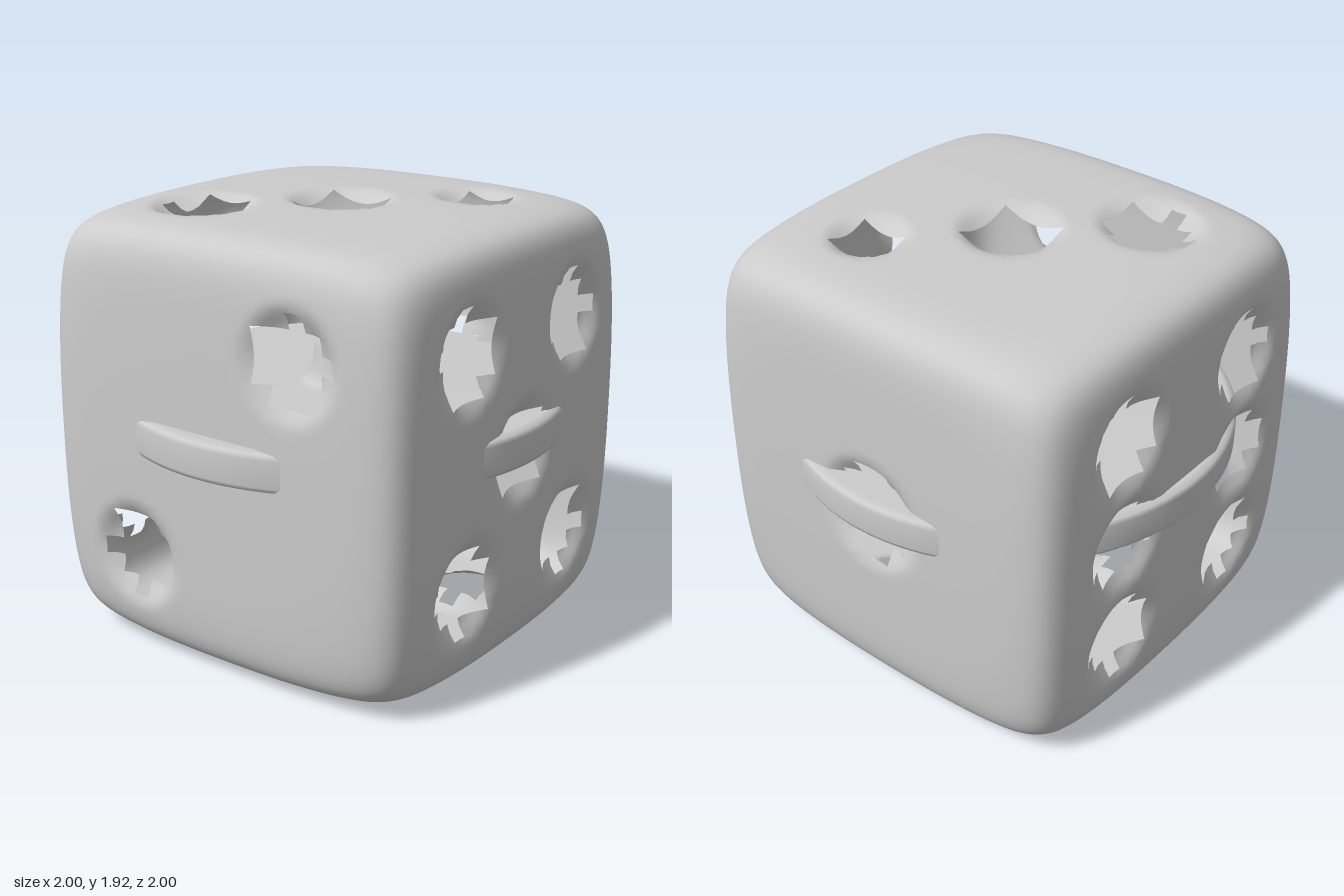
import * as THREE from 'three';
import { mergeVertices } from 'three/addons/utils/BufferGeometryUtils.js';

const HALF = [0.925, 0.96, 0.95]; // half sizes of the body
const CELLS = 12; // hole cells per half face
const SEGS = CELLS * 4;
const P = 0.45, Q = 0.53;

// Each face: axis, side, the two other axes, and its pips as [u, v, open radius]
const both = (list, r) => list.map(([u, v]) => [u, v, r]);
const corners = (u, v) => [[-u, -v], [-u, v], [u, -v], [u, v]];
const FACES = [
  { axis: 2, side: 1, u: 0, v: 1, pips: [...both(corners(P, Q), 0.186), [0, 0, 0.18]] },
  { axis: 2, side: -1, u: 0, v: 1, pips: both([...corners(P, Q), [-P, 0], [P, 0]], 0.186) },
  { axis: 0, side: 1, u: 2, v: 1, pips: [[0, 0, 0.215]] },
  { axis: 0, side: -1, u: 2, v: 1, pips: both([[P, Q], [-P, -Q]], 0.186) },
  { axis: 1, side: 1, u: 0, v: 2, pips: [[-P, -P, 0.186], [0, 0, 0.18], [P, P, 0.13]] },
  { axis: 1, side: -1, u: 0, v: 2, pips: both(corners(P, P), 0.17) },
];

const faceOf = (p) => FACES.filter((f) => p[f.axis] * f.side > 0.9999);

// Hollow rounded cube with dented pips that break open in square cells
function bodyGeometry() {
  let geo = new THREE.BoxGeometry(2, 2, 2, SEGS, SEGS, SEGS);
  geo.deleteAttribute('uv');
  geo.deleteAttribute('normal');
  geo.clearGroups();
  geo = mergeVertices(geo, 1e-4);
  const pos = geo.attributes.position;
  const point = (i) => [pos.getX(i), pos.getY(i), pos.getZ(i)];

  // Drop the cells that lie inside a pip
  const snap = (t) => (Math.floor(t * CELLS) + 0.5) / CELLS;
  const src = geo.index.array;
  const kept = [];
  for (let i = 0; i < src.length; i += 6) {
    const c = [0, 0, 0];
    for (let k = 0; k < 6; k++) point(src[i + k]).forEach((t, a) => { c[a] += t / 6; });
    const f = faceOf(c)[0];
    const open = f.pips.some(([u, v, r]) => Math.hypot(snap(c[f.u]) - u, snap(c[f.v]) - v) < r);
    if (!open) for (let k = 0; k < 6; k++) kept.push(src[i + k]);
  }
  geo.setIndex(kept);

  // Round the edges, cut back the corners, bulge the faces and press in the pips
  const n = 12;
  for (let i = 0; i < pos.count; i++) {
    const p = point(i);
    const norm = p.reduce((s, t) => s + Math.abs(t) ** n, 0) ** (1 / n);
    const q = p.map((t) => t / norm);
    const r2 = q.reduce((s, t) => s + t * t, 0);
    const corner = Math.abs(q[0] * q[1] * q[2]) ** 3;
    const out = q.map((t) => t * (1 - 0.016 * (r2 - 1) - 0.06 * corner));
    for (const f of faceOf(p)) {
      let dent = 0;
      for (const [u, v, r] of f.pips) {
        const d = Math.hypot(p[f.u] - u, p[f.v] - v);
        dent = Math.max(dent, 0.06 * (1 - THREE.MathUtils.smoothstep(d, r - 0.04, r + 0.08)));
      }
      out[f.axis] -= f.side * dent;
    }
    pos.setXYZ(i, out[0] * HALF[0], out[1] * HALF[1] + HALF[1], out[2] * HALF[2]);
  }
  geo.computeVertexNormals();
  return geo;
}

// Disc that pokes out through the four side faces, with a domed knob on top
function discGeometry() {
  const profile = [
    [0, 0.92], [0.96, 0.92], [0.99, 0.93], [1, 0.95], [1, 1.065], [0.99, 1.085], [0.96, 1.095],
    [0.2, 1.095], [0.16, 1.11], [0.13, 1.16], [0.12, 1.26], [0.11, 1.3], [0.08, 1.33], [0.04, 1.343], [0, 1.346],
  ].map(([x, y]) => new THREE.Vector2(x, y));
  return new THREE.LatheGeometry(profile, 96);
}

export function createModel() {
  const group = new THREE.Group();
  group.name = 'hollowDie';
  const material = new THREE.MeshStandardMaterial({ color: 0xcccccc, side: THREE.DoubleSide });
  const add = (name, geometry) => {
    const mesh = new THREE.Mesh(geometry, material);
    mesh.name = name;
    group.add(mesh);
  };
  add('dieShell', bodyGeometry());
  add('innerDisc', discGeometry());
  return group;
}
